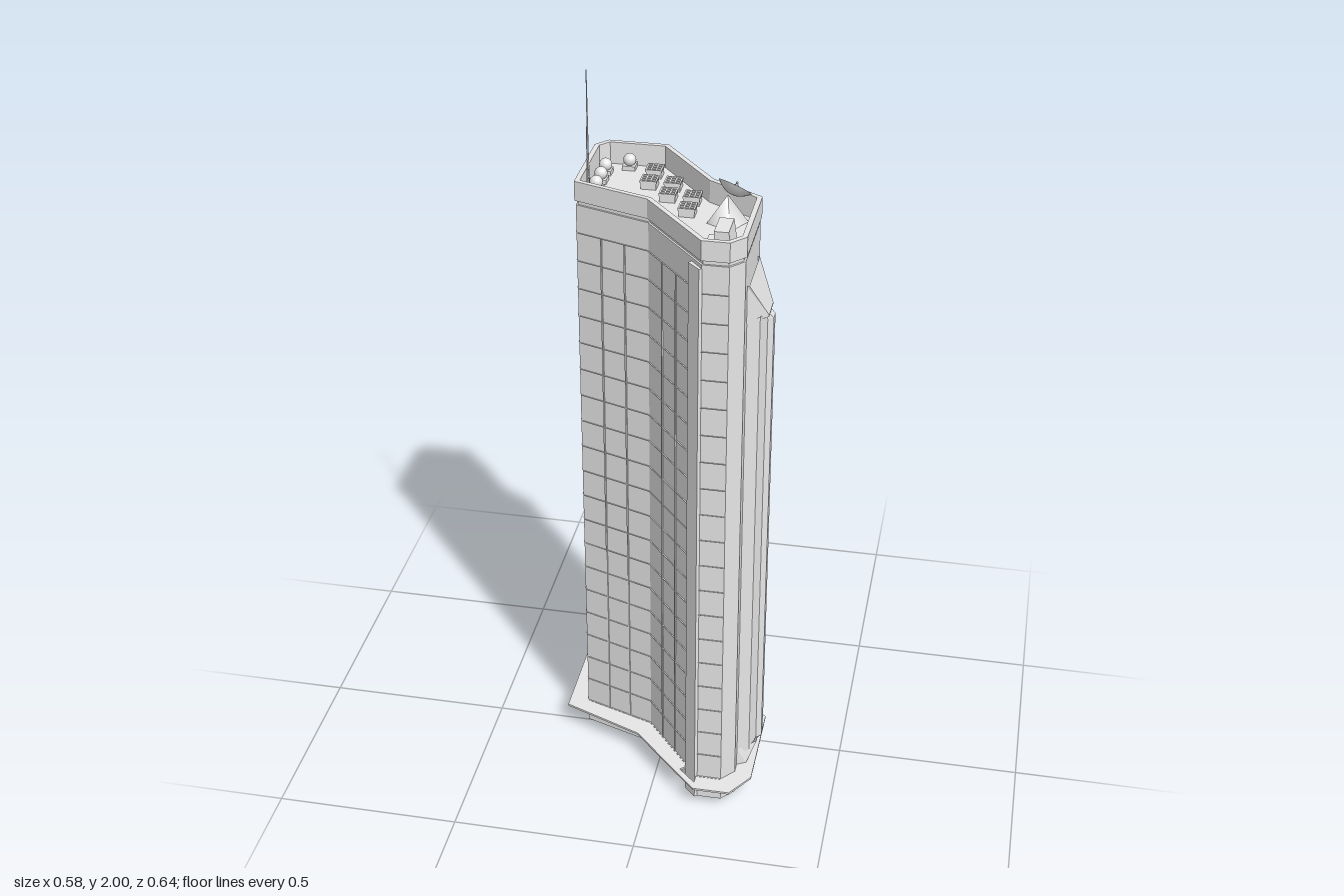
import * as THREE from 'three';

// Plan outline of the tower as [x, z]
const PLAN = [[-0.21, -0.27], [-0.052, -0.27], [0.10, -0.08], [0.235, 0], [0.235, 0.23],
  [0.20, 0.27], [0.13, 0.27], [-0.04, 0.068], [-0.24, 0], [-0.24, -0.235]];
const CANOPY = [[-0.235, -0.32], [-0.07, -0.32], [0, -0.26], [0.13, -0.12], [0.28, -0.025], [0.28, 0.245],
  [0.23, 0.32], [0.13, 0.32], [0.07, 0.26], [-0.065, 0.12], [-0.29, 0.03], [-0.29, -0.25]];
const ROOF = 1.655;

export function createModel() {
  const concrete = new THREE.MeshStandardMaterial({ color: 0xe6e6e6, side: THREE.DoubleSide });
  concrete.name = 'pale concrete';
  const model = new THREE.Group();
  model.name = 'tower';

  const add = (name, geo, x = 0, y = 0, z = 0, parent = model) => {
    const mesh = new THREE.Mesh(geo, concrete);
    mesh.name = name;
    mesh.position.set(x, y, z);
    parent.add(mesh);
    return mesh;
  };
  const box = (name, w, h, d, x, y, z, parent = model) =>
    add(name, new THREE.BoxGeometry(w, h, d), x, y + h / 2, z, parent);
  const group = (name, x = 0, y = 0, z = 0) => {
    const g = new THREE.Group();
    g.name = name;
    g.position.set(x, y, z);
    model.add(g);
    return g;
  };
  const toV = pts => pts.map(([x, z]) => new THREE.Vector2(x, -z));

  // Upright prism from a plan polygon, with optional holes
  const prism = (name, pts, y0, y1, holes = []) => {
    const s = new THREE.Shape(toV(pts));
    holes.forEach(h => s.holes.push(new THREE.Path(toV(h))));
    const geo = new THREE.ExtrudeGeometry(s, { depth: y1 - y0, bevelEnabled: false });
    geo.rotateX(-Math.PI / 2);
    return add(name, geo, 0, y0, 0);
  };
  // Mitred inset of the plan
  const normal = (a, b) => {
    const l = Math.hypot(b[0] - a[0], b[1] - a[1]);
    return [(b[1] - a[1]) / l, (a[0] - b[0]) / l];
  };
  const inset = d => PLAN.map((p, i) => {
    const n = PLAN.length;
    const u = normal(PLAN[(i + n - 1) % n], p), v = normal(p, PLAN[(i + 1) % n]);
    const k = d / (1 + u[0] * v[0] + u[1] * v[1]);
    return [p[0] - (u[0] + v[0]) * k, p[1] - (u[1] + v[1]) * k];
  });
  // Flat-faced loft through [height, [[x, z], ...]] sections
  const loft = (name, levels) => {
    const pos = [];
    const pt = (l, s) => [levels[l][1][s][0], levels[l][0], levels[l][1][s][1]];
    for (let l = 0; l < levels.length - 1; l++) {
      for (let s = 0; s < levels[l][1].length - 1; s++) {
        const a = pt(l, s), b = pt(l, s + 1), c = pt(l + 1, s + 1), d = pt(l + 1, s);
        pos.push(...a, ...c, ...b, ...a, ...d, ...c);
      }
    }
    const geo = new THREE.BufferGeometry();
    geo.setAttribute('position', new THREE.Float32BufferAttribute(pos, 3));
    geo.computeVertexNormals();
    return add(name, geo);
  };

  // Body, recessed joint and parapet
  prism('towerBody', inset(0.003), 0, 1.65);
  prism('recessedJoint', inset(0.008), 1.65, 1.663, [inset(0.013)]);
  prism('roofDeck', inset(0.012), 1.64, ROOF);
  prism('parapet', PLAN, 1.662, 1.715, [inset(0.013)]);

  // Entrance canopy with openings beside the two service columns
  prism('canopy', CANOPY, 0.066, 0.072, [
    [[-0.068, -0.295], [-0.021, -0.247], [-0.036, -0.232], [-0.068, -0.27]],
    [[0.129, 0.295], [0.08, 0.248], [0.096, 0.234], [0.129, 0.272]],
  ]);
  const column = [[0.14, 0.262], [0.105, 0.225], [0.094, 0.239], [0.126, 0.272]];
  prism('frontServiceColumn', column, 0, 1.64);
  prism('backServiceColumn', column.map(([x, z]) => [0.076 - x, -z]), 0, 1.64);

  // Facade grids, flush with the plan: [plan edge, start, end, upright fins]
  const facades = [[0, 0.03, 0.95, 2], [1, 0.2, 1, 2], [2, 0, 0.97, 2], [5, 0.03, 0.97, 0],
    [6, 0.2, 1, 2], [7, 0, 0.97, 2], [8, 0.03, 0.97, 2]];
  for (const [e, t0, t1, fins] of facades) {
    const a = PLAN[e], b = PLAN[(e + 1) % PLAN.length];
    const dx = b[0] - a[0], dz = b[1] - a[1];
    const len = Math.hypot(dx, dz) * (t1 - t0), mid = (t0 + t1) / 2;
    const g = group('facadeGrid', a[0] + dx * mid, 0, a[1] + dz * mid);
    g.rotation.y = -Math.atan2(dz, dx);
    for (let i = 0; i < 20; i++) box('floorLine', len, 0.001, 0.008, 0, 0.072 + i * 0.079, 0.004, g);
    for (let i = 1; i <= fins; i++) {
      box('uprightFin', 0.004, 1.5, 0.008, (i / (fins + 1) - 0.5) * len, 0.07, 0.004, g);
    }
  }

  // Projecting bay on the side: faceted shaft with a sloping hood and foot
  const shaft = [[0.231, 0.04], [0.262, 0.06], [0.275, 0.09], [0.289, 0.10],
    [0.289, 0.125], [0.275, 0.135], [0.262, 0.175], [0.231, 0.195]];
  const drawnIn = shaft.map(([x, z]) => [Math.min(x, 0.27), z]);
  loft('bayShaft', [[0.11, drawnIn], [0.125, shaft], [1.45, shaft], [1.475, drawnIn]]);
  const wide = [[0.231, 0.034], [0.237, 0.036], [0.237, 0.199], [0.231, 0.201]];
  const narrow = [[0.231, 0.036], [0.28, 0.08], [0.28, 0.15], [0.231, 0.199]];
  const low = [[0.231, 0.036], [0.257, 0.045], [0.257, 0.185], [0.231, 0.199]];
  loft('bayHood', [[1.465, narrow], [1.47, narrow], [1.57, wide]]);
  loft('bayFoot', [[0.072, low], [0.125, narrow]]);

  // Domed vents on square bases
  for (const [x, z] of [[-0.203, -0.195], [-0.203, -0.14], [-0.203, -0.085], [-0.148, -0.236]]) {
    const g = group('domeVent', x, ROOF, z);
    box('ventBase', 0.034, 0.012, 0.034, 0, 0, 0, g);
    add('ventDome', new THREE.SphereGeometry(0.017, 16, 10), 0, 0.024, 0, g);
  }

  // Cooling units with a three by three grille
  for (const [x, z] of [[-0.075, -0.203], [-0.075, -0.134], [-0.013, -0.134],
    [-0.013, -0.067], [0.05, -0.061], [0.05, 0.008]]) {
    const g = group('coolingUnit', x, ROOF, z);
    box('unitBody', 0.04, 0.02, 0.04, 0, 0, 0, g);
    for (const k of [-1.5, -0.5, 0.5, 1.5]) {
      box('grilleBar', 0.004, 0.006, 0.043, k * 0.0131, 0.018, 0, g);
      box('grilleBar', 0.043, 0.006, 0.004, 0, 0.018, k * 0.0131, g);
    }
  }

  // Antenna masts on a small plinth
  const mast = group('antenna', -0.209, ROOF, -0.027);
  box('antennaBase', 0.024, 0.02, 0.032, 0, 0, 0, mast);
  for (const [h, r, z] of [[0.345, 0.003, 0], [0.2, 0.003, 0.009], [0.09, 0.002, -0.009]]) {
    add('antennaRod', new THREE.CylinderGeometry(r * 0.4, r, h, 6), 0, h / 2, z, mast);
  }

  // Satellite dish on a pyramid stand
  const stand = add('dishStand', new THREE.ConeGeometry(0.052, 0.075, 4), 0.155, ROOF + 0.0375, 0.037);
  stand.rotation.y = 0.27;
  const dish = group('satelliteDish', 0.163, 1.728, 0.032);
  dish.quaternion.setFromUnitVectors(new THREE.Vector3(0, 1, 0), new THREE.Vector3(0.33, 0.78, -0.5).normalize());
  const profile = [0, 0.25, 0.5, 0.75, 1].map(t => new THREE.Vector2(t * 0.045, t * t * 0.022));
  add('dishBowl', new THREE.LatheGeometry(profile, 24), 0, 0, 0, dish);
  for (let i = 0; i < 3; i++) {
    const a = i * Math.PI * 2 / 3;
    const strut = new THREE.LineCurve3(
      new THREE.Vector3(0.024 * Math.cos(a), 0.007, 0.024 * Math.sin(a)), new THREE.Vector3(0, 0.032, 0));
    add('feedStrut', new THREE.TubeGeometry(strut, 1, 0.001, 4), 0, 0, 0, dish);
  }
  add('feedHorn', new THREE.SphereGeometry(0.003, 8, 6), 0, 0.032, 0, dish);

  // Stair house with a sloped side and a small annex
  const house = new THREE.Shape([[0.152, 0], [0.197, 0], [0.188, 0.062], [0.152, 0.062]]
    .map(p => new THREE.Vector2(...p)));
  add('stairHouse', new THREE.ExtrudeGeometry(house, { depth: 0.08, bevelEnabled: false }), 0, ROOF, 0.14);
  box('stairAnnex', 0.018, 0.035, 0.027, 0.143, ROOF, 0.193);

  return model;
}
